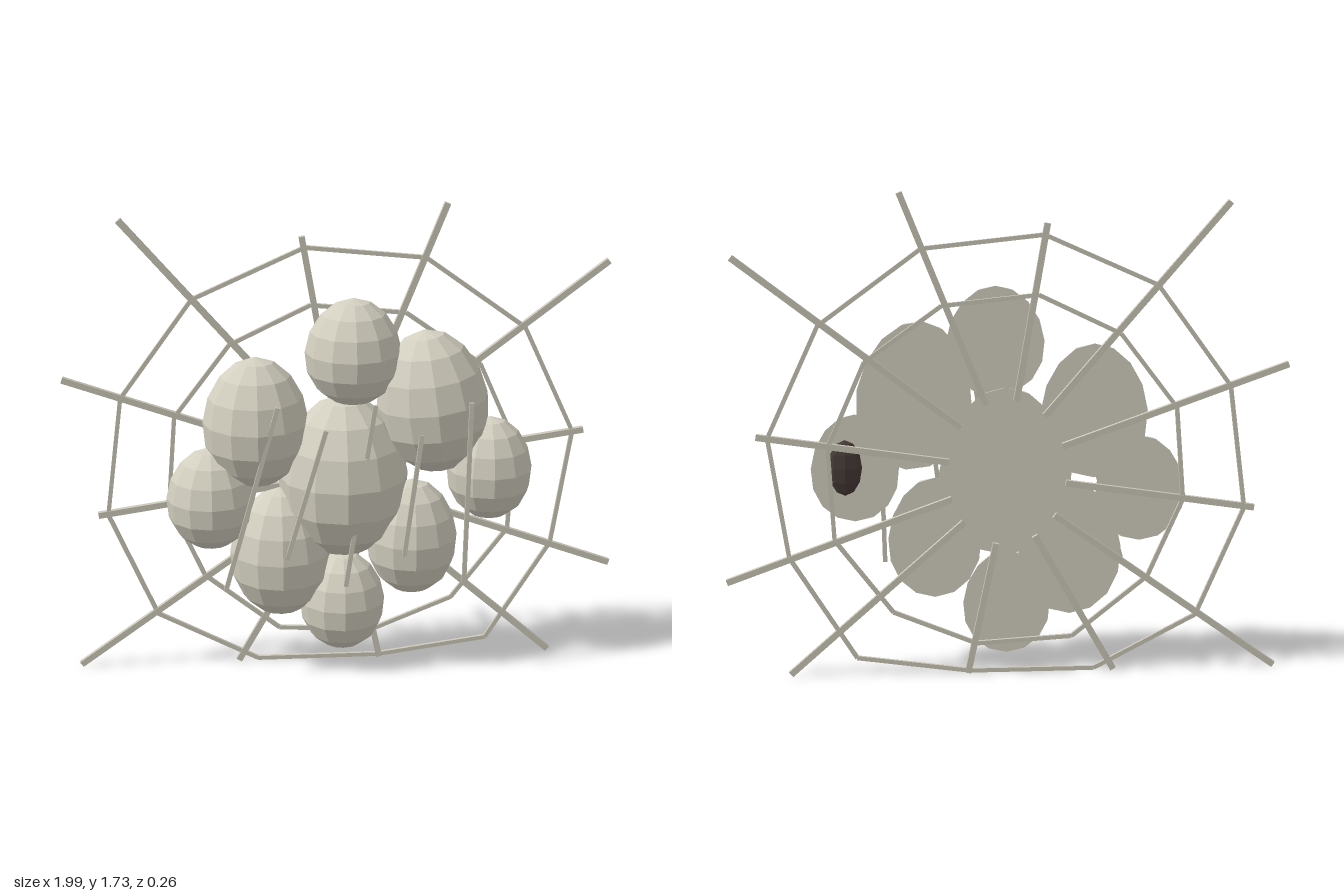
import * as THREE from 'three';

const shell = new THREE.MeshStandardMaterial({ color: 0xd3cfc0, flatShading: true });
shell.name = 'pale shell';
const silk = new THREE.MeshStandardMaterial({ color: 0xcac6b6, flatShading: true });
silk.name = 'silk';
const dark = new THREE.MeshStandardMaterial({ color: 0x453a36, flatShading: true });
dark.name = 'dark brown';

// Half egg: front half of a low-poly sphere, back pressed flat, slightly fuller below
function halfEgg(rx, ry, rz) {
  const geo = new THREE.SphereGeometry(1, 12, 8);
  const p = geo.attributes.position;
  for (let i = 0; i < p.count; i++) {
    const y = p.getY(i);
    const taper = 1 - 0.08 * y;
    p.setXYZ(i, p.getX(i) * rx * taper, y * ry, Math.max(0, p.getZ(i)) * rz * taper);
  }
  geo.computeVertexNormals();
  return geo;
}

// Square strand between two points in a plane of constant z
function strand(name, a, b, z, width, depth) {
  const dx = b[0] - a[0], dy = b[1] - a[1];
  const mesh = new THREE.Mesh(new THREE.BoxGeometry(Math.hypot(dx, dy), width, depth), silk);
  mesh.name = name;
  mesh.position.set((a[0] + b[0]) / 2, (a[1] + b[1]) / 2, z);
  mesh.rotation.z = Math.atan2(dy, dx);
  return mesh;
}

export function createModel() {
  const model = new THREE.Group();
  model.name = 'eggCluster';

  // Eggs: x, y, half width, half height, back z, tilt
  const eggs = new THREE.Group();
  eggs.name = 'eggs';
  [
    [0.005, 0.74, 0.235, 0.302, -0.108, 0],
    [0.04, 1.205, 0.173, 0.195, -0.098, 0],
    [0.325, 1.015, 0.202, 0.265, -0.1, 0.12],
    [0.535, 0.758, 0.155, 0.192, -0.092, 0],
    [0.255, 0.502, 0.165, 0.217, -0.093, 0],
    [0, 0.262, 0.155, 0.187, -0.09, 0],
    [-0.225, 0.458, 0.183, 0.242, -0.095, 0],
    [-0.475, 0.67, 0.16, 0.19, -0.092, 0],
    [-0.31, 0.952, 0.19, 0.24, -0.097, 0],
  ].forEach(([x, y, rx, ry, z, tilt], i) => {
    const egg = new THREE.Mesh(halfEgg(rx, ry, rx), shell);
    egg.name = i === 0 ? 'centreEgg' : 'outerEgg' + i;
    egg.position.set(x, y, z);
    egg.rotation.z = tilt;
    eggs.add(egg);
  });
  model.add(eggs);

  // Small dark lump behind the left egg
  const lump = new THREE.Mesh(new THREE.SphereGeometry(1, 8, 6), dark);
  lump.name = 'darkLump';
  lump.scale.set(0.06, 0.1, 0.028);
  lump.position.set(0.57, 0.76, -0.096);
  model.add(lump);

  // Web: for each spoke its tip, its outer ring knot and its inner ring knot
  const web = new THREE.Group();
  web.name = 'web';
  const spokes = [
    [[-0.14, 1.62], [-0.13, 1.58], [-0.11, 1.37]],
    [[0.375, 1.73], [0.3, 1.535], [0.23, 1.335]],
    [[0.955, 1.51], [0.66, 1.27], [0.5, 1.14]],
    [[0.88, 0.88], [0.84, 0.875], [0.63, 0.84]],
    [[0.99, 0.36], [0.77, 0.445], [0.61, 0.505]],
    [[0.77, 0.02], [0.535, 0.075], [0.405, 0.24]],
    [[0.14, 0.012], [0.135, 0.02], [0.11, 0.12]],
    [[-0.38, 0.015], [-0.31, 0.02], [-0.23, 0.14]],
    [[-0.96, 0.018], [-0.675, 0.21], [-0.5, 0.355]],
    [[-0.88, 0.6], [-0.845, 0.6], [-0.625, 0.635]],
    [[-0.995, 1.115], [-0.79, 1.04], [-0.6, 0.965]],
    [[-0.78, 1.69], [-0.53, 1.4], [-0.4, 1.23]],
  ];
  const hub = [0, 0.74], z = -0.123;
  spokes.forEach(([tip, outer, inner], i) => {
    const next = spokes[(i + 1) % spokes.length];
    // Spokes start just inside the rim of the centre egg
    const angle = Math.atan2(tip[1] - hub[1], tip[0] - hub[0]);
    const start = [hub[0] + 0.21 * Math.cos(angle), hub[1] + 0.26 * Math.sin(angle)];
    web.add(strand('spoke', start, tip, z, 0.022, 0.019));
    web.add(strand('outerRing', outer, next[1], z, 0.015, 0.013));
    web.add(strand('innerRing', inner, next[2], z, 0.015, 0.013));
  });
  model.add(web);

  // Loose threads laid across the front
  const threads = new THREE.Group();
  threads.name = 'frontThreads';
  [
    [[-0.24, 1.055], [-0.43, 0.375]],
    [[0.105, 1.055], [0, 0.375]],
    [[0.445, 1.055], [0.427, 0.375]],
    [[-0.07, 0.965], [-0.21, 0.485]],
    [[0.27, 0.94], [0.21, 0.485]],
  ].forEach(([a, b]) => threads.add(strand('frontThread', a, b, 0.076, 0.016, 0.013)));
  model.add(threads);

  return model;
}
